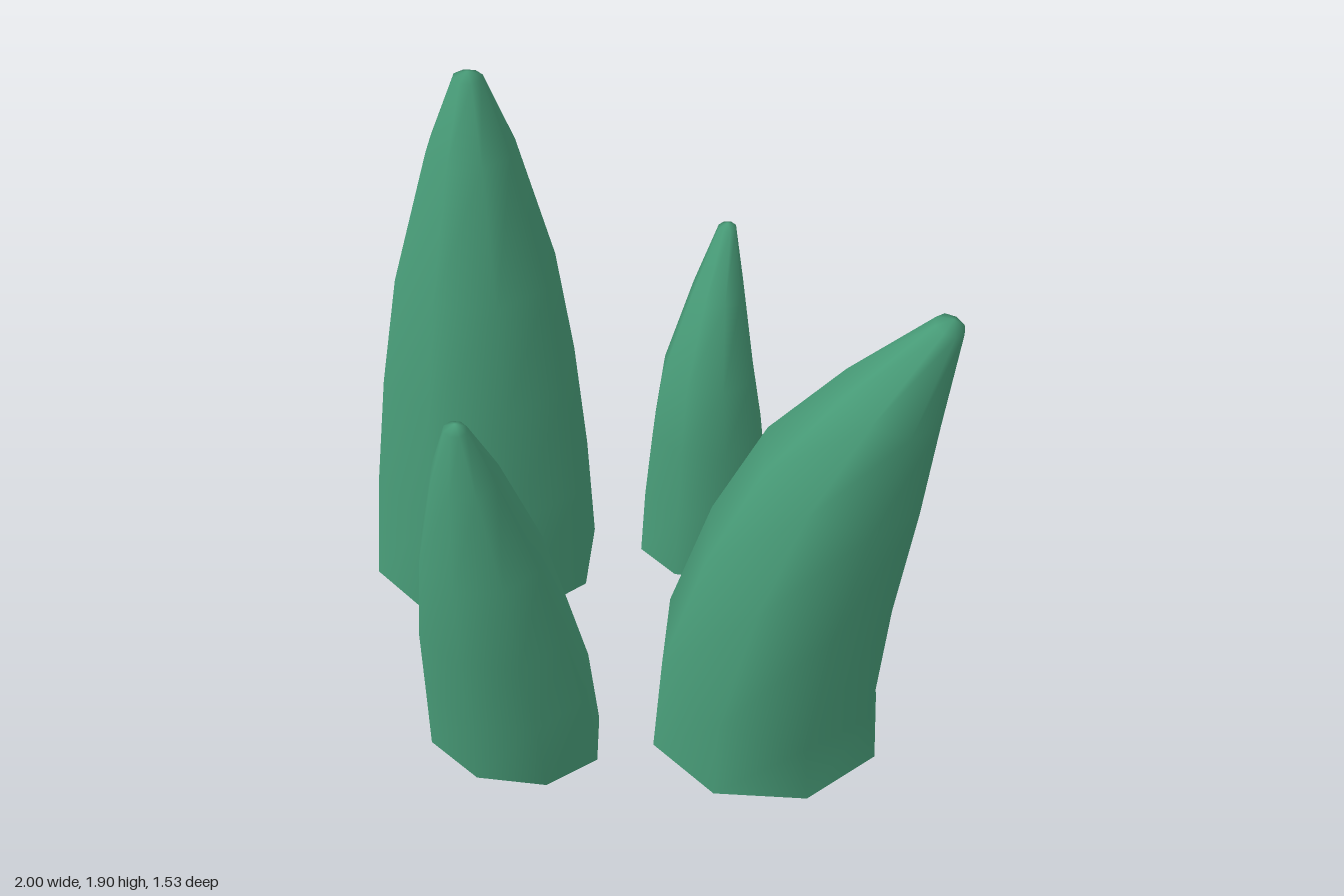
import * as THREE from 'three';

const SIDES = 8;

// Ring: [x, y, z, radiusX, radiusZ, rise towards +x, rise towards +z]; the last ring closes to a tip.
function spikeGeometry(rings) {
  const positions = [];
  const index = [];
  for (const [x, y, z, rx, rz = rx, riseX = 0, riseZ = 0] of rings) {
    for (let i = 0; i < SIDES; i++) {
      const a = (i / SIDES) * Math.PI * 2;
      const c = Math.cos(a), s = Math.sin(a);
      positions.push(x + rx * c, y + riseX * c + riseZ * s, z + rz * s);
    }
  }
  for (let r = 0; r < rings.length - 1; r++) {
    for (let i = 0; i < SIDES; i++) {
      const j = (i + 1) % SIDES;
      const a = r * SIDES + i, b = r * SIDES + j;
      index.push(a, a + SIDES, b, b, a + SIDES, b + SIDES);
    }
  }
  // Tip fan
  const [tx, ty, tz] = rings[rings.length - 1].tip;
  const top = (rings.length - 1) * SIDES;
  positions.push(tx, ty, tz);
  for (let i = 0; i < SIDES; i++) index.push(top + i, rings.length * SIDES, top + (i + 1) % SIDES);

  const geometry = new THREE.BufferGeometry();
  geometry.setAttribute('position', new THREE.Float32BufferAttribute(positions, 3));
  geometry.setIndex(index);
  geometry.computeVertexNormals();
  return geometry;
}

function withTip(rings, tip) {
  rings[rings.length - 1].tip = tip;
  return rings;
}

export function createModel() {
  const group = new THREE.Group();
  group.name = 'spikeCluster';
  const green = new THREE.MeshStandardMaterial({ color: 0x489c78, side: THREE.DoubleSide });
  green.name = 'leaf green';

  const spikes = {
    // Tall straight spike
    tallSpike: withTip([
      [-0.635, 0.125, -0.16, 0.365],
      [-0.635, 0.49, -0.16, 0.343],
      [-0.635, 0.87, -0.16, 0.305],
      [-0.635, 1.23, -0.16, 0.25],
      [-0.635, 1.65, -0.16, 0.136],
      [-0.635, 1.88, -0.16, 0.046],
    ], [-0.635, 1.9, -0.16]),
    // Thick spike bending to its left
    bentSpike: withTip([
      [0.465, 0.005, 0.03, 0.365, 0.365, 0.005],
      [0.468, 0.26, 0.03, 0.338, 0.35, -0.1],
      [0.558, 0.685, 0.03, 0.293, 0.31, -0.085],
      [0.673, 1.05, 0.03, 0.238, 0.25, -0.07],
      [0.808, 1.35, 0.03, 0.143, 0.158, -0.05],
      [0.953, 1.635, 0.03, 0.042, 0.046, -0.015],
    ], [0.962, 1.658, 0.03]),
    // Short spike bending forwards
    frontSpike: withTip([
      [-0.182, 0.03, 0.452, 0.283, 0.235],
      [-0.182, 0.3, 0.49, 0.268, 0.225, 0, -0.03],
      [-0.182, 0.565, 0.555, 0.24, 0.198, 0, -0.035],
      [-0.182, 0.855, 0.61, 0.195, 0.156, 0, -0.04],
      [-0.182, 1.17, 0.675, 0.105, 0.085, 0, -0.03],
      [-0.182, 1.348, 0.71, 0.036, 0.028, 0, -0.008],
    ], [-0.182, 1.366, 0.71]),
    // Slim spike bending backwards
    backSpike: withTip([
      [-0.035, 0.13, -0.546, 0.22, 0.217],
      [-0.035, 0.36, -0.546, 0.207, 0.202],
      [-0.035, 0.59, -0.545, 0.182, 0.18],
      [-0.035, 0.81, -0.543, 0.15, 0.148],
      [-0.035, 1.08, -0.6, 0.082, 0.088, 0, -0.02],
      [-0.035, 1.268, -0.661, 0.029, 0.027, 0, -0.004],
    ], [-0.035, 1.282, -0.663]),
  };

  for (const [name, rings] of Object.entries(spikes)) {
    const mesh = new THREE.Mesh(spikeGeometry(rings), green);
    mesh.name = name;
    group.add(mesh);
  }
  return group;
}
